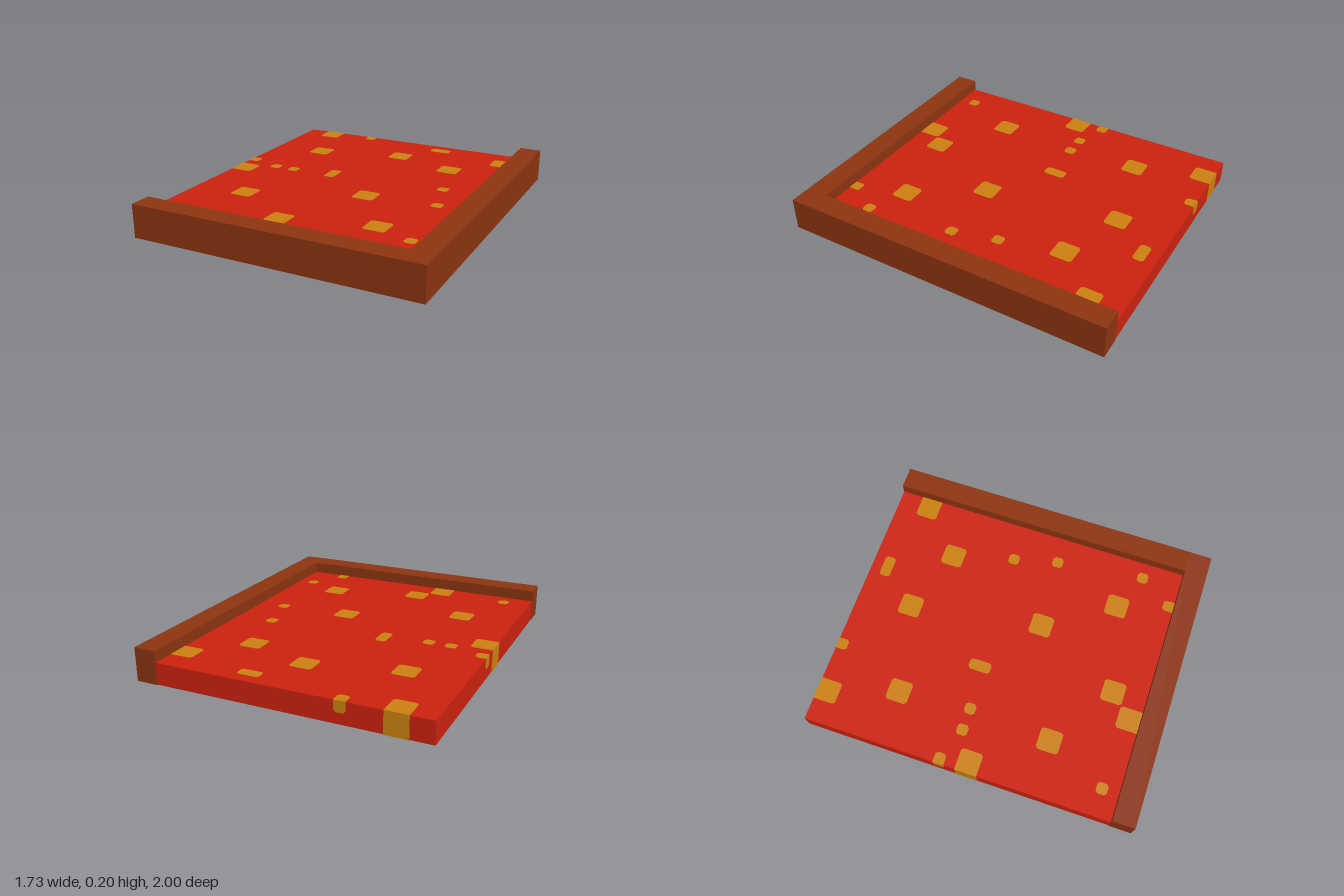
import * as THREE from 'three';

const U = 1 / 15;      // grid unit
const THIN = 0.004;    // thickness of the painted spots
const INSET = 0.002;   // slab sits this far below the spot faces

const red = new THREE.MeshStandardMaterial({ color: 0xcc220f });
red.name = 'red';
const brown = new THREE.MeshStandardMaterial({ color: 0x8c3410 });
brown.name = 'crust brown';
const orange = new THREE.MeshStandardMaterial({ color: 0xcb8010 });
orange.name = 'orange';

// Slab extent in grid units
const X0 = -13, X1 = 11, Z0 = -15, Z1 = 13, H = 2;

// Large spots run right through the slab: [x, z] of the centre, 2 x 2 units
const LARGE = [
  [-10, -14], [10, -12], [0, -10], [-8, -8], [6, -8], [-12, 0],
  [2, 2], [-8, 6], [6, 8], [-2, 10], [-4, 12],
];
// Small spots are one unit deep: [x, z, width, length] from the low corner
const SMALL = [
  [-6, -15, 1, 1], [2, -14, 2, 1], [-13, -3, 1, 1], [-10, -2, 1, 1], [-8, -2, 1, 1],
  [-4, -3, 1, 2], [7, -3, 1, 1], [8, 1, 1, 1], [9, 9, 1, 1], [-11, 11, 1, 1], [7, 12, 1, 1],
];

function box(name, material, x0, x1, y0, y1, z0, z1) {
  const geometry = new THREE.BoxGeometry(x1 - x0, y1 - y0, z1 - z0);
  geometry.translate((x0 + x1) / 2, (y0 + y1) / 2, (z0 + z1) / 2);
  const mesh = new THREE.Mesh(geometry, material);
  mesh.name = name;
  return mesh;
}

// Rectangle with clipped corners; corners on the border of the face stay square
function spotShape(u0, v0, u1, v1, [bu0, bv0, bu1, bv1]) {
  const c = 0.2;
  const points = [];
  const corner = (u, v, du, dv, uFirst) => {
    if (u === bu0 || u === bu1 || v === bv0 || v === bv1) {
      points.push([u, v]);
      return;
    }
    const a = [u + du * c, v], b = [u, v + dv * c];
    points.push(...(uFirst ? [a, b] : [b, a]));
  };
  corner(u0, v0, 1, 1, false);
  corner(u1, v0, -1, 1, true);
  corner(u1, v1, -1, -1, false);
  corner(u0, v1, 1, -1, true);
  return new THREE.Shape(points.map(([u, v]) => new THREE.Vector2(u * U, v * U)));
}

// Each face turns flat spots into place; offset is its distance from the origin
const FACES = {
  top: { rx: -Math.PI / 2, ry: 0, offset: H * U, bounds: [X0, -Z1, X1, -Z0] },
  bottom: { rx: Math.PI / 2, ry: 0, offset: 0, bounds: [X0, Z0, X1, Z1] },
  back: { rx: 0, ry: Math.PI, offset: -Z0 * U, bounds: [-X1, 0, -X0, H] },
  side: { rx: 0, ry: -Math.PI / 2, offset: -X0 * U, bounds: [Z0, 0, Z1, H] },
};

function spot(faceName, u0, v0, u1, v1) {
  const face = FACES[faceName];
  const geometry = new THREE.ExtrudeGeometry(
    spotShape(u0, v0, u1, v1, face.bounds), { depth: THIN, bevelEnabled: false });
  geometry.translate(0, 0, face.offset - THIN);
  geometry.rotateX(face.rx).rotateY(face.ry);
  const mesh = new THREE.Mesh(geometry, orange);
  mesh.name = faceName + 'Spot';
  return mesh;
}

export function createModel() {
  const model = new THREE.Group();
  model.name = 'slice';

  // Red slab
  model.add(box('slab', red, X0 * U + INSET, X1 * U, INSET, H * U - INSET, Z0 * U + INSET, Z1 * U));

  // Raised L-shaped crust along the front and the +x side
  const crust = new THREE.Group();
  crust.name = 'crust';
  crust.add(box('frontCrust', brown, -13 * U, 13 * U, 0, 3 * U, 13 * U, 15 * U));
  crust.add(box('leftCrust', brown, 11 * U, 13 * U, 0, 3 * U, -15 * U, 13 * U));
  model.add(crust);

  // Spots on the top, the underside and the open edges
  const spots = new THREE.Group();
  spots.name = 'spots';
  const addSpot = (x, z, w, l, depth) => {
    spots.add(spot('top', x, -z - l, x + w, -z));
    if (depth === H) spots.add(spot('bottom', x, z, x + w, z + l));
    if (z === Z0) spots.add(spot('back', -x - w, H - depth, -x, H));
    if (x === X0) spots.add(spot('side', z, H - depth, z + l, H));
  };
  LARGE.forEach(([x, z]) => addSpot(x - 1, z - 1, 2, 2, 2));
  SMALL.forEach(([x, z, w, l]) => addSpot(x, z, w, l, 1));
  model.add(spots);

  return model;
}
